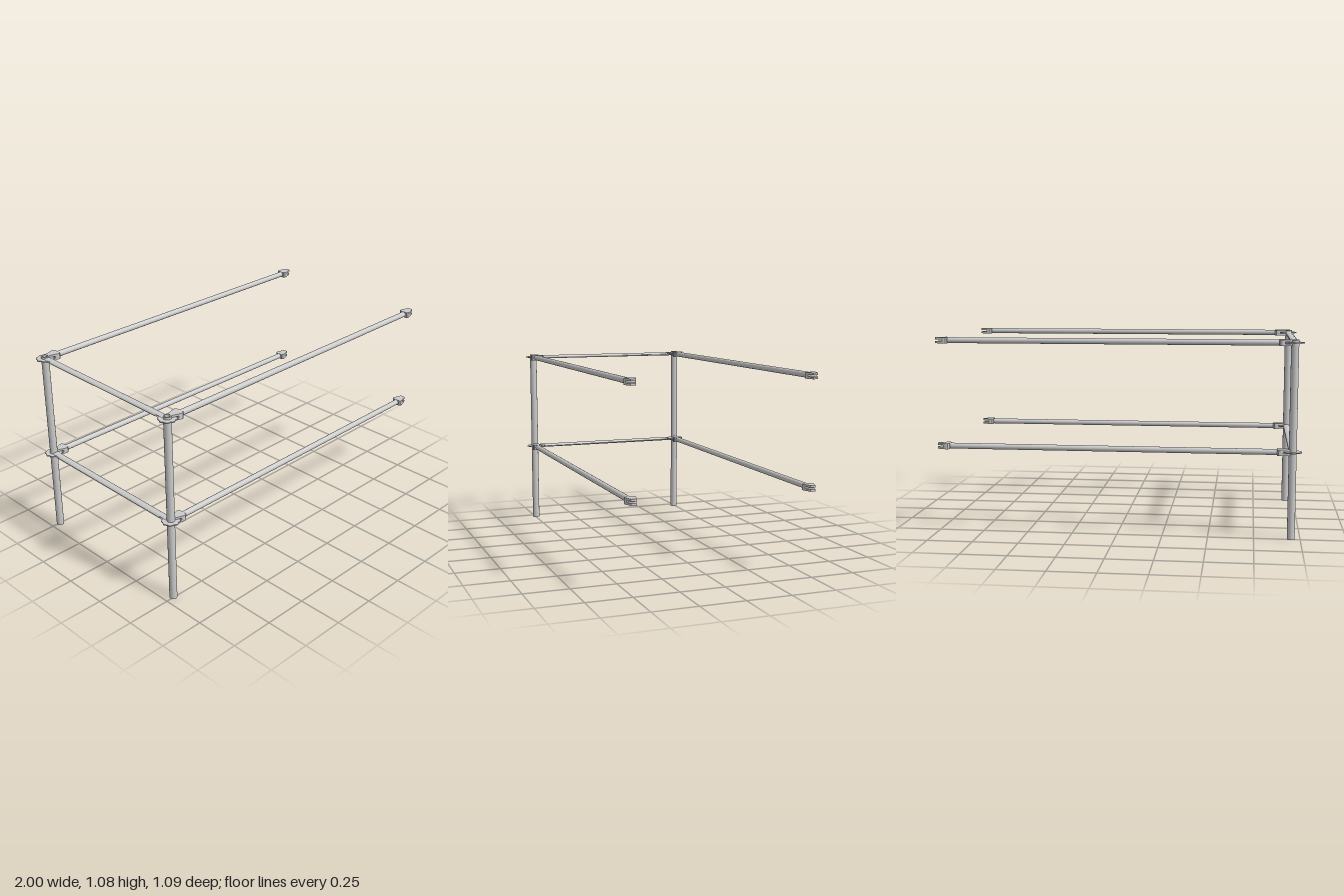
import * as THREE from 'three';

const POST_X = -0.95, POST_Z = 0.495, POST_R = 0.021, POST_H = 1.08;
const LEVELS = [0.478, 1.064];
const mat = new THREE.MeshStandardMaterial({ color: 0xcccccc });

function add(parent, name, geometry) {
  const mesh = new THREE.Mesh(geometry, mat);
  mesh.name = name;
  parent.add(mesh);
  return mesh;
}

// Flat plate drawn in plan (x, z), occupying y0..y1
function plate(points, y0, y1) {
  const shape = new THREE.Shape(points.map(([x, z]) => new THREE.Vector2(x, z)));
  return new THREE.ExtrudeGeometry(shape, { depth: y1 - y0, bevelEnabled: false })
    .rotateX(-Math.PI / 2).translate(0, y0, 0);
}

// Upright tube with a recess in its top
function post() {
  const profile = [[0, 0], [POST_R, 0], [POST_R, 0], [POST_R, POST_H], [POST_R, POST_H],
    [0.014, POST_H], [0.014, POST_H], [0.014, POST_H - 0.06], [0.014, POST_H - 0.06], [0, POST_H - 0.06]];
  return new THREE.LatheGeometry(profile.map(p => new THREE.Vector2(...p)), 24);
}

// Lobed coupling disc around a post
function rosette() {
  const outline = [];
  for (let i = 0; i < 48; i++) {
    const a = (i / 48) * Math.PI * 2;
    const r = 0.047 + 0.003 * Math.cos(8 * a);
    outline.push([r * Math.cos(a), r * Math.sin(a)]);
  }
  return plate(outline, -0.003, 0.003);
}

// Wedge head pointing along +x from x = 0, slotted to grip a disc
function wedgeHead(name) {
  const head = new THREE.Group();
  head.name = name;
  const outline = [[0, -0.024], [0.008, -0.03], [0.02, -0.03], [0.068, -0.014],
    [0.068, 0.014], [0.02, 0.03], [0.008, 0.03], [0, 0.024]];
  add(head, 'upperJaw', plate(outline, 0.005, 0.0165));
  add(head, 'lowerJaw', plate(outline, -0.0165, -0.005));
  add(head, 'jawBridge', plate([[0, -0.024], [0.008, -0.03], [0.02, -0.03],
    [0.032, -0.026], [0.032, 0.026], [0.02, 0.03], [0.008, 0.03], [0, 0.024]], -0.005, 0.005));
  return head;
}

// Long round rail with a head at each end
function ledger() {
  const group = new THREE.Group();
  group.name = 'ledger';
  const x0 = -0.867, x1 = 0.932;
  const tube = add(group, 'ledgerTube', new THREE.CylinderGeometry(0.016, 0.016, x1 - x0, 24).rotateZ(Math.PI / 2));
  tube.position.x = (x0 + x1) / 2;
  const right = wedgeHead('outerHead');
  right.position.x = x1;
  const left = wedgeHead('innerHead');
  left.position.x = x0;
  left.rotation.y = Math.PI;
  group.add(right, left);
  return group;
}

// Flat oval cross rail with forked ends
function transom() {
  const group = new THREE.Group();
  group.name = 'transom';
  const rx = 0.021, ry = 0.0105, solid = 0.43, end = POST_Z - 0.018;
  add(group, 'transomTube',
    new THREE.CylinderGeometry(1, 1, solid * 2, 24).rotateX(Math.PI / 2).scale(rx, ry, 1));
  const a = Math.asin(0.005 / ry);
  const prong = new THREE.Shape().absellipse(0, 0, rx, ry, a, Math.PI - a, false, 0);
  prong.closePath();
  for (const side of [0, 1]) for (const flip of [0, 1]) {
    const geo = new THREE.ExtrudeGeometry(prong, { depth: end - solid, bevelEnabled: false, curveSegments: 12 })
      .translate(0, 0, solid);
    if (flip) geo.rotateZ(Math.PI);
    if (side) geo.rotateY(Math.PI);
    add(group, 'transomProng', geo);
  }
  return group;
}

export function createModel() {
  const model = new THREE.Group();
  model.name = 'scaffoldFrame';

  for (const z of [-POST_Z, POST_Z]) {
    add(model, 'post', post()).position.set(POST_X, 0, z);
    for (const y of LEVELS) {
      add(model, 'rosette', rosette()).position.set(POST_X, y, z);
      const rail = ledger();
      rail.position.set(0, y, z);
      model.add(rail);
    }
  }

  for (const y of LEVELS) {
    const cross = transom();
    cross.position.set(POST_X, y, 0);
    model.add(cross);
  }
  return model;
}
